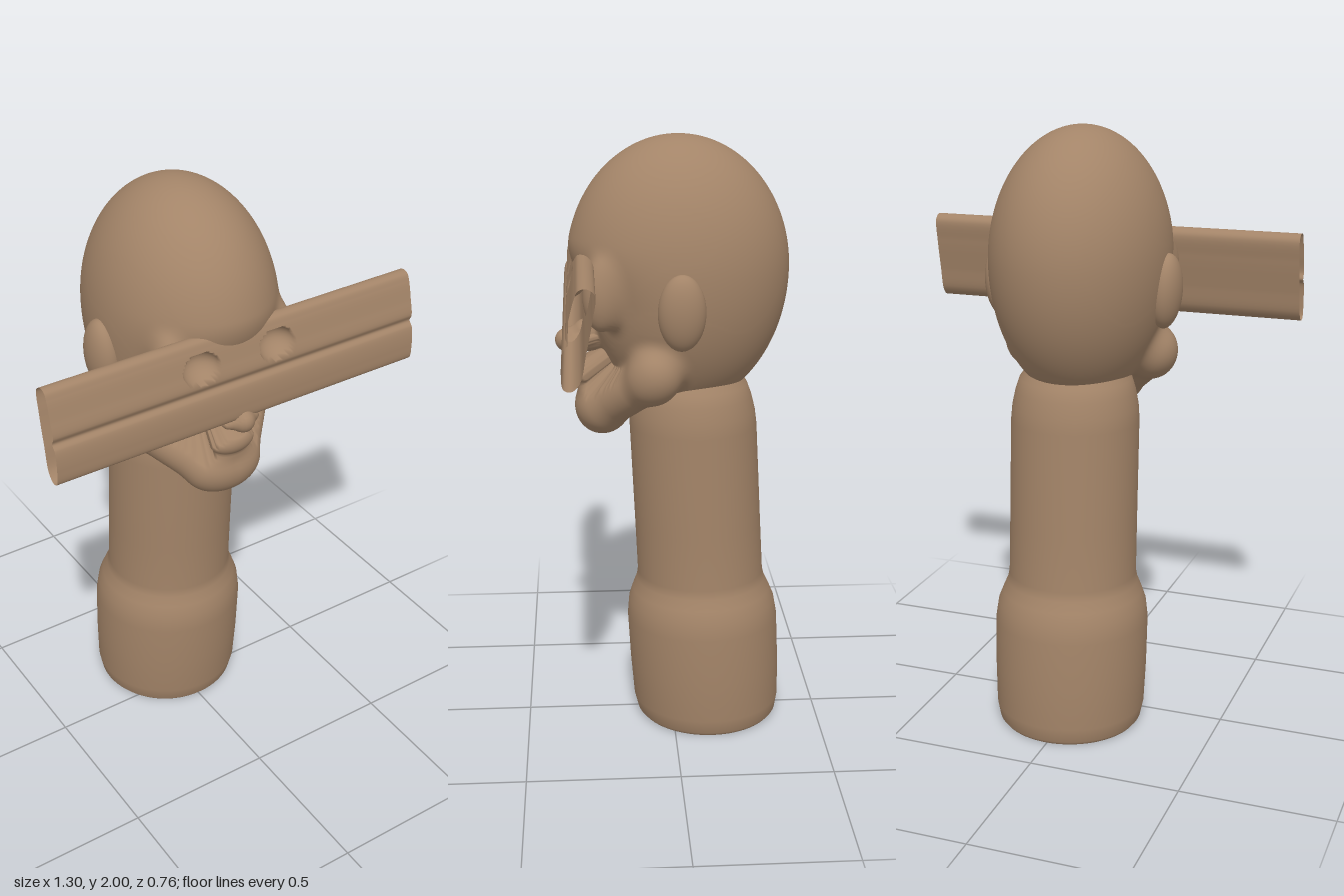
import * as THREE from 'three';
import { mergeVertices } from 'three/addons/utils/BufferGeometryUtils.js';
import { ParametricGeometry } from 'three/addons/geometries/ParametricGeometry.js';

const EYES = [[-0.142, 1.555], [0.132, 1.555]];
const EYE_RX = 0.066, EYE_RY = 0.051;

// approximate signed distance to an ellipsoid
function ellipsoid(x, y, z, [cx, cy, cz], [rx, ry, rz]) {
  const a = (x - cx) / rx, b = (y - cy) / ry, c = (z - cz) / rz;
  const k0 = Math.hypot(a, b, c);
  const k1 = Math.hypot(a / rx, b / ry, c / rz);
  return k1 < 1e-6 ? -Math.min(rx, ry, rz) : k0 * (k0 - 1) / k1;
}

// distance to a tapered limb between two balls
function limb(x, y, z, a, b, ra, rb) {
  const d = [b[0] - a[0], b[1] - a[1], b[2] - a[2]];
  const p = [x - a[0], y - a[1], z - a[2]];
  const dot = p[0] * d[0] + p[1] * d[1] + p[2] * d[2];
  const t = THREE.MathUtils.clamp(dot / (d[0] ** 2 + d[1] ** 2 + d[2] ** 2), 0, 1);
  return Math.hypot(p[0] - d[0] * t, p[1] - d[1] * t, p[2] - d[2] * t) - ra - (rb - ra) * t;
}

// smooth union of two distances
function blend(a, b, k) {
  const h = Math.max(k - Math.abs(a - b), 0) / k;
  return Math.min(a, b) - h * h * k * 0.25;
}

function headDistance(x, y, z) {
  const ax = Math.abs(x);
  // cranium: an egg whose face recedes below the brow
  const recede = z > -0.02 ? 1 - 0.17 * (1 - THREE.MathUtils.smoothstep(y, 1.46, 1.68)) : 1;
  let d = ellipsoid(x, y, (z + 0.02) / recede - 0.02, [0, 1.58, -0.02], [0.29, y > 1.58 ? 0.42 : 0.47, 0.36]);
  // temples and cheeks running forward to the bar
  d = blend(d, ellipsoid(ax, y, z, [0.2, 1.52, 0.23], [0.05, 0.11, 0.06]), 0.05);
  // jaw knobs, jaw line and chin
  d = blend(d, ellipsoid(ax, y, z, [0.215, 1.27, 0.065], [0.085, 0.09, 0.085]), 0.04);
  d = blend(d, limb(ax, y, z, [0.2, 1.24, 0.09], [0.06, 1.13, 0.22], 0.065, 0.075), 0.04);
  d = blend(d, ellipsoid(x, y, z, [0, 1.115, 0.235], [0.11, 0.09, 0.085]), 0.05);
  // nose and lips
  d = blend(d, ellipsoid(x, y, z, [0, 1.355, 0.27], [0.05, 0.055, 0.06]), 0.03);
  d = blend(d, ellipsoid(x, y, z, [0, 1.338, 0.34], [0.038, 0.04, 0.042]), 0.02);
  d = blend(d, ellipsoid(ax, y, z, [0.042, 1.335, 0.325], [0.025, 0.022, 0.025]), 0.02);
  d = blend(d, ellipsoid(x, y, z, [0, 1.235, 0.285], [0.078, 0.045, 0.045]), 0.02);
  d = blend(d, ellipsoid(x, y, z, [0, 1.18, 0.27], [0.08, 0.03, 0.04]), 0.015);
  // eye sockets
  for (const [ex, ey] of EYES) {
    d = Math.max(d, -ellipsoid(x, y, z, [ex, ey, 0.33], [EYE_RX, EYE_RY, 0.075]));
  }
  return d;
}

// head: a sphere shrunk onto the blended shape
function headGeometry() {
  const g = new THREE.SphereGeometry(1, 200, 150);
  g.deleteAttribute('uv');
  g.deleteAttribute('normal');
  const pos = g.attributes.position;
  const c = new THREE.Vector3(0, 1.42, 0.03);
  const dir = new THREE.Vector3(), p = new THREE.Vector3();
  for (let i = 0; i < pos.count; i++) {
    dir.fromBufferAttribute(pos, i).normalize();
    let t = 0.85;
    for (let s = 0; s < 90 && t > 0.02; s++) {
      p.copy(c).addScaledVector(dir, t);
      const d = headDistance(p.x, p.y, p.z);
      if (d < 0.0003) break;
      t -= d * 0.6;
    }
    p.copy(c).addScaledVector(dir, t);
    pos.setXYZ(i, p.x, p.y, p.z);
  }
  const merged = mergeVertices(g, 1e-5);
  merged.computeVertexNormals();
  return merged;
}

// bar: a flat hollow tube with open ends and sunken eyes
function barGeometry() {
  const profile = new THREE.CatmullRomCurve3([
    [1.345, 0.328], [1.352, 0.35], [1.40, 0.356], [1.465, 0.348], [1.483, 0.335], [1.505, 0.342],
    [1.56, 0.33], [1.615, 0.315], [1.638, 0.303], [1.643, 0.28], [1.625, 0.256],
    [1.55, 0.264], [1.45, 0.284], [1.37, 0.302],
  ].map(([y, z]) => new THREE.Vector3(0, y, z)), true);
  return new ParametricGeometry((u, v, target) => {
    profile.getPoint(v, target);
    target.x = (u - 0.5) * 1.304;
    if (target.z > 0.29 + (1.64 - target.y) * 0.15) {
      for (const [ex, ey] of EYES) {
        const r = Math.hypot((target.x - ex) / EYE_RX, (target.y - ey) / EYE_RY);
        if (r < 1) target.z -= 0.058 * Math.pow(1 - r * r, 0.55);
      }
    }
  }, 260, 84);
}

// neck and base: a turned profile leaning forward as it rises
function neckGeometry() {
  const points = [
    [0.232, 0], [0.242, 0.012], [0.252, 0.06], [0.257, 0.2], [0.258, 0.36], [0.25, 0.42],
    [0.235, 0.46], [0.22, 0.495], [0.214, 0.525], [0.213, 0.7], [0.212, 1.05],
    [0.208, 1.1], [0.198, 1.15], [0.185, 1.19], [0.15, 1.24],
  ].map(([r, y]) => new THREE.Vector2(r, y));
  const g = new THREE.LatheGeometry(points, 72);
  g.deleteAttribute('uv');
  g.deleteAttribute('normal');
  const pos = g.attributes.position;
  for (let i = 0; i < pos.count; i++) {
    const y = pos.getY(i);
    pos.setX(i, pos.getX(i) + 0.004);
    pos.setZ(i, pos.getZ(i) - 0.124 + 0.05 * y);
  }
  const merged = mergeVertices(g, 1e-5);
  merged.computeVertexNormals();
  return merged;
}

export function createModel() {
  const model = new THREE.Group();
  model.name = 'bust';
  const clay = new THREE.MeshStandardMaterial({ color: 0xa38468, side: THREE.DoubleSide });
  clay.name = 'clay brown';

  const add = (name, geometry) => {
    const mesh = new THREE.Mesh(geometry, clay);
    mesh.name = name;
    model.add(mesh);
    return mesh;
  };

  add('head', headGeometry());
  add('eyeBar', barGeometry());
  add('neck', neckGeometry());

  // ears
  for (const side of [-1, 1]) {
    const ear = add(side > 0 ? 'leftEar' : 'rightEar', new THREE.SphereGeometry(1, 40, 28));
    ear.scale.set(0.052, 0.122, 0.075);
    ear.position.set(side * 0.284, 1.485, -0.015);
    ear.rotation.z = -side * 0.06;
  }
  return model;
}
